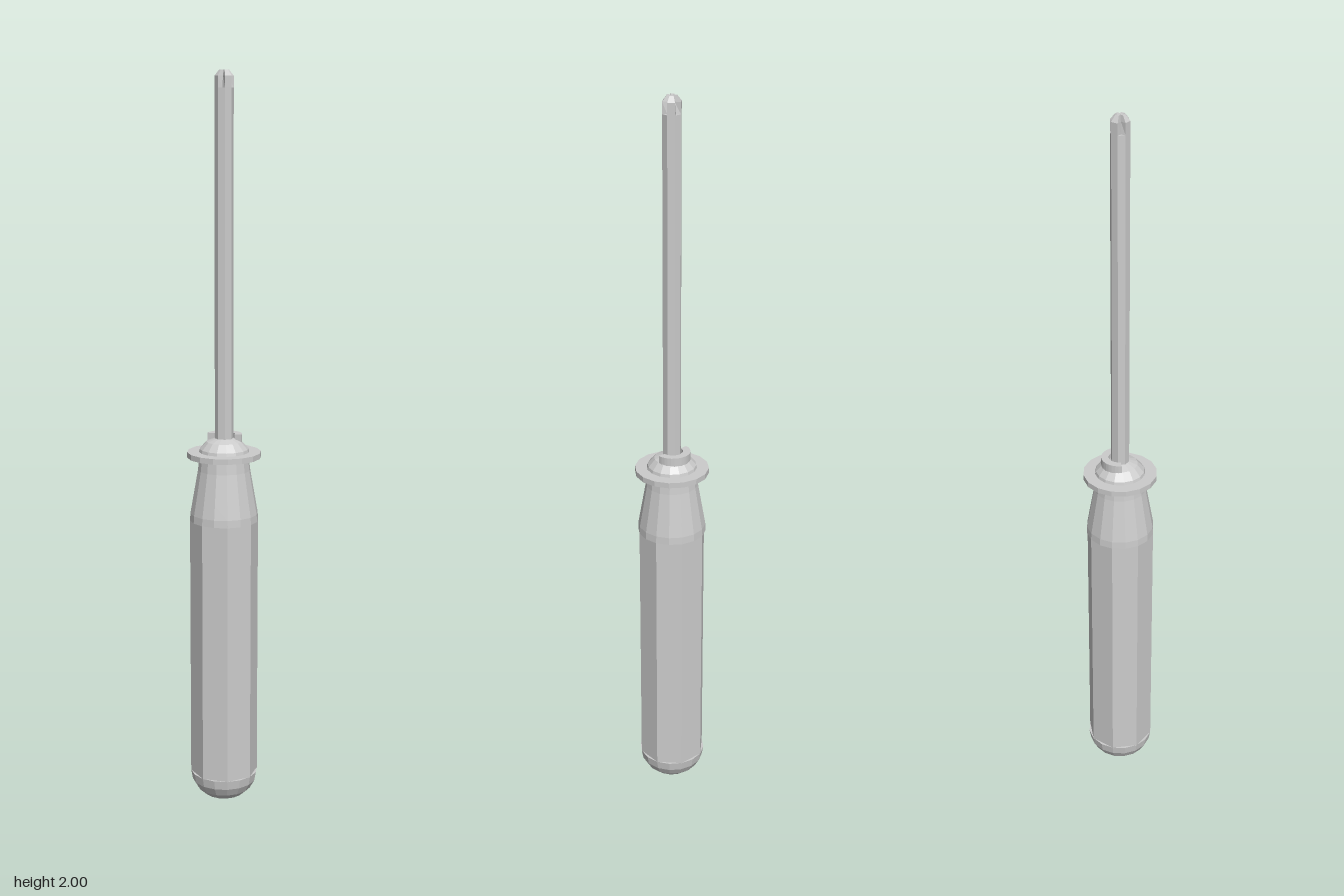
import * as THREE from 'three';

const material = new THREE.MeshStandardMaterial({ color: 0xcccccc, flatShading: true });

export function createModel() {
  const model = new THREE.Group();

  const add = (name, geometry) => {
    const mesh = new THREE.Mesh(geometry, material);
    mesh.name = name;
    model.add(mesh);
    return mesh;
  };
  // Turned part from [radius, height] pairs, listed bottom to top
  const turned = (profile, sides, start = 0) =>
    new THREE.LatheGeometry(profile.map(([r, y]) => new THREE.Vector2(r, y)), sides, start);

  // Rounded butt of the handle
  const butt = [];
  for (let i = 0; i <= 5; i++) {
    const a = (i / 5) * Math.PI / 2;
    butt.push([0.093 * Math.sin(a), 0.083 * (1 - Math.cos(a))]);
  }
  butt.push([0, 0.083]);
  add('handleButt', turned(butt, 16));

  // Eight flat grip panels
  add('handleGrip', turned([[0.093, 0.08], [0.093, 0.815]], 8, Math.PI / 8));

  // Shoulder tapering to the neck, overhanging the flats
  add('handleShoulder', turned([
    [0, 0.81], [0.093, 0.81], [0.092, 0.83], [0.085, 0.87], [0.071, 0.95], [0.067, 0.988],
  ], 16));

  // Thin guard disc
  add('guard', turned([[0, 0.985], [0.1, 0.985], [0.1, 1.0], [0, 1.0]], 16));

  // Domed collar above the guard
  add('collar', turned([[0.068, 1.0], [0.066, 1.008], [0.048, 1.028], [0.024, 1.037], [0, 1.037]], 16));

  // Raised half ring around the back of the shaft
  const half = new THREE.Shape();
  half.absarc(0, 0, 0.048, 0, Math.PI, false);
  half.absarc(0, 0, 0.028, Math.PI, 0, true);
  half.closePath();
  const ring = new THREE.ExtrudeGeometry(half, { depth: 0.024, bevelEnabled: false, curveSegments: 8 });
  ring.rotateX(-Math.PI / 2);
  ring.translate(0, 1.024, -0.003);
  add('halfRing', ring);

  // Eight-sided shaft
  add('shaft', turned([[0.025, 1.0], [0.025, 1.955], [0, 1.955]], 8, Math.PI / 8));

  // Cross tip: pull the vertices on the four main axes inwards to cut V slots
  const tip = turned([[0.025, 1.955], [0.025, 1.985], [0.013, 2.0], [0, 2.0]], 16);
  const pos = tip.attributes.position;
  for (let i = 0; i < pos.count; i++) {
    const step = Math.floor(i / 4) % 16;
    let k = 1;
    if (step % 4 === 0) k = pos.getY(i) < 1.98 ? 0.6 : 0.4;
    else if (step % 4 === 2) k = Math.cos(Math.PI / 8);
    pos.setX(i, pos.getX(i) * k);
    pos.setZ(i, pos.getZ(i) * k);
  }
  tip.computeVertexNormals();
  add('crossTip', tip);

  return model;
}
